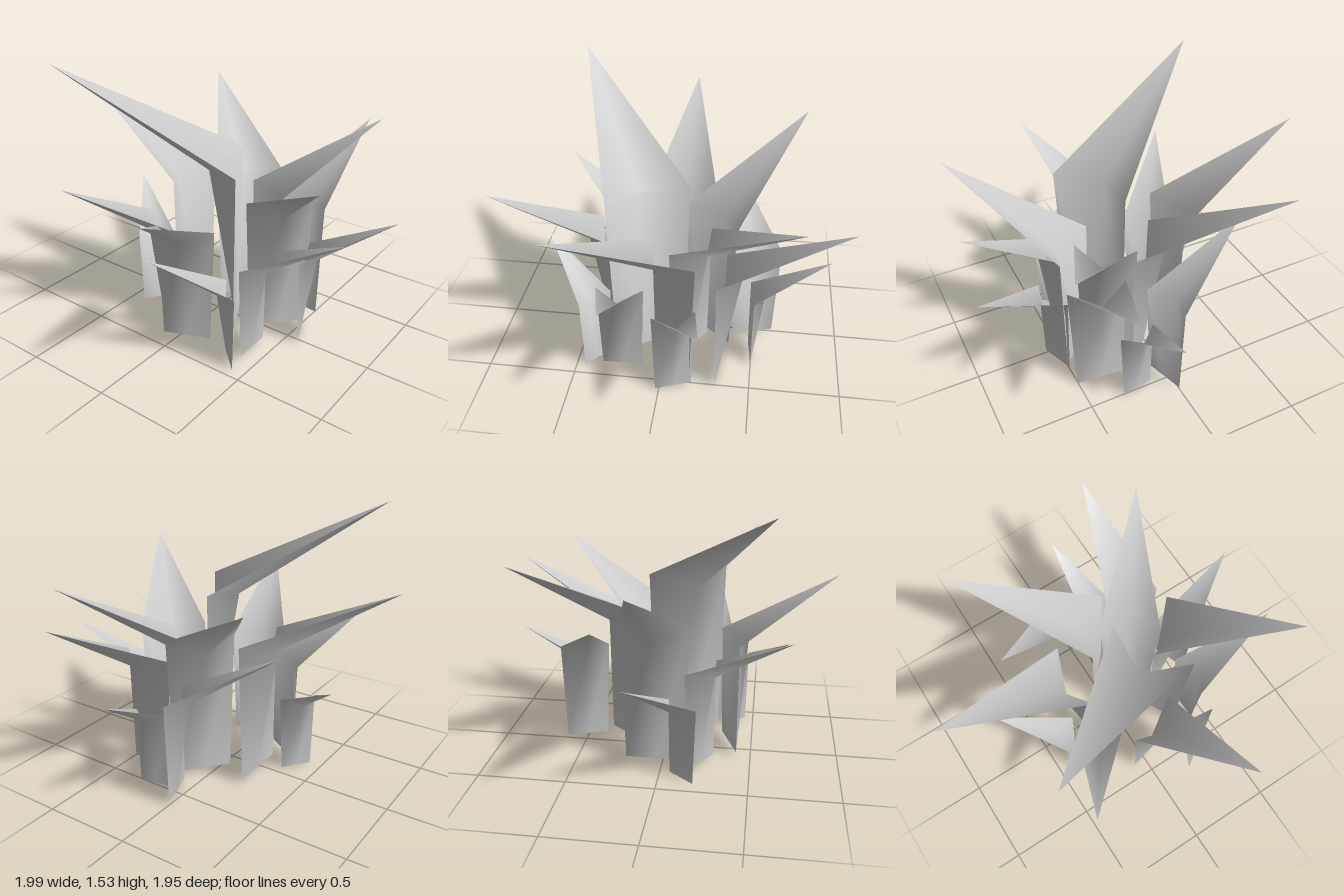
import * as THREE from 'three';

const material = new THREE.MeshStandardMaterial({ color: 0xcccccc, side: THREE.DoubleSide });

// One folded leaf: flat foot, V-shaped bend, pointed tip leaning along +z.
// len is the reach of the tip beyond the bend, rise the full height.
function leafGeometry(len, rise) {
  const rows = [
    [-0.21, 0, 0.01], [0, 0, 0.01], [0.21, 0, 0.01],          // foot
    [-0.245, 0.672, 0], [0, 0.635, 0.165], [0.245, 0.672, 0], // bend
    [0, 1, 1],                                                // tip
  ];
  const positions = rows.flatMap(([x, y, z]) => [x * len, y * rise, z * len]);
  const geometry = new THREE.BufferGeometry();
  geometry.setAttribute('position', new THREE.Float32BufferAttribute(positions, 3));
  geometry.setIndex([0, 1, 4, 0, 4, 3, 1, 2, 5, 1, 5, 4, 3, 4, 6, 4, 5, 6]);
  geometry.computeVertexNormals();
  return geometry;
}

// Each leaf: foot x, foot z, tip x, tip z, tip height, foot height
const leaves = [
  [0.06, -0.23, -0.55, -0.74, 1.23, 0.02],
  [-0.2, -0.045, -1.0, -0.05, 1.23, 0.02],
  [0.215, 0.095, -0.65, 0.59, 1.53, 0.02],
  [-0.215, 0.215, -0.53, 0.7, 0.89, 0.02],
  [0.05, 0.36, 0.29, 0.97, 1.02, 0.02],
  [0.38, -0.055, 0.91, 0.49, 1.17, 0.02],
  [0.528, -0.075, 0.99, -0.25, 0.76, 0],
  [0.405, 0.235, 0.94, 0.23, 0.82, 0.02],
  [0.225, -0.135, 0.64, -0.72, 1.14, 0.04],
  [0.364, -0.315, 0.44, -0.98, 1.03, 0],
  [0.21, -0.485, 0.16, -0.91, 0.66, 0],
  [0.045, -0.5, -0.51, -0.33, 0.88, 0.02],
  [0.365, 0.385, 0.07, 0.7, 0.66, 0],
  [-0.364, 0.128, -0.7, -0.14, 0.66, 0],
];

export function createModel() {
  const plant = new THREE.Group();
  plant.name = 'leafyPlant';
  leaves.forEach(([x, z, tipX, tipZ, tipY, footY], i) => {
    const dx = tipX - x, dz = tipZ - z;
    const leaf = new THREE.Mesh(leafGeometry(Math.hypot(dx, dz), tipY - footY), material);
    leaf.name = `leaf${i + 1}`;
    leaf.position.set(x, footY, z);
    leaf.rotation.y = Math.atan2(dx, dz);
    plant.add(leaf);
  });
  return plant;
}
